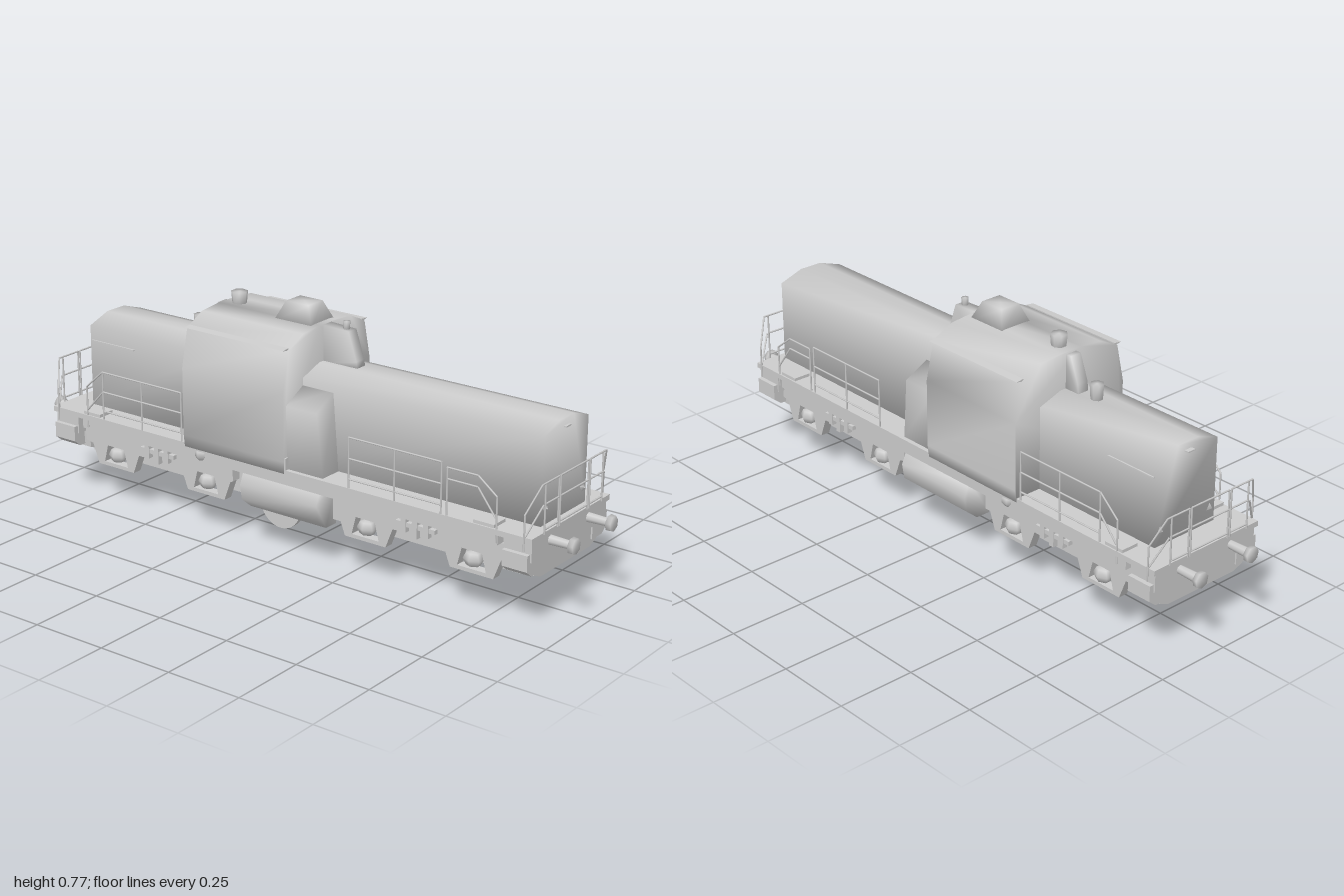
import * as THREE from 'three';
import { mergeVertices, toCreasedNormals } from 'three/addons/utils/BufferGeometryUtils.js';

const mat = new THREE.MeshStandardMaterial({ color: 0xcccccc, side: THREE.DoubleSide });

// Shares vertices between faces so that shading runs smoothly over the edges
function smooth(geo) {
  geo.deleteAttribute('uv');
  geo.deleteAttribute('normal');
  const g = mergeVertices(geo, 1e-4);
  g.computeVertexNormals();
  return g;
}

function shapeOf(points) {
  return new THREE.Shape(points.map(([a, b]) => new THREE.Vector2(a, b)));
}

// Cross-section in x and y, drawn out from z0 to z1
function alongZ(points, z0, z1) {
  return new THREE.ExtrudeGeometry(shapeOf(points), { depth: z1 - z0, bevelEnabled: false }).translate(0, 0, z0);
}

// Profile in z and y, drawn out from x0 to x1
function alongX(shape, x0, x1) {
  return new THREE.ExtrudeGeometry(shape, { depth: x1 - x0, bevelEnabled: false })
    .rotateY(-Math.PI / 2).translate(x1, 0, 0);
}

// Half outline mirrored about x = 0
const mirror = (half) => [...half, ...half.slice().reverse().map(([x, y]) => [-x, y])];

export function createModel() {
  const model = new THREE.Group();

  const add = (name, geo, parent = model) => {
    const mesh = new THREE.Mesh(geo, mat);
    mesh.name = name;
    parent.add(mesh);
    return mesh;
  };
  const box = (name, x0, x1, y0, y1, z0, z1, parent) => add(name,
    new THREE.BoxGeometry(x1 - x0, y1 - y0, z1 - z0)
      .translate((x0 + x1) / 2, (y0 + y1) / 2, (z0 + z1) / 2), parent);
  const rod = (parent, a, b, r = 0.003) => {
    const p = new THREE.Vector3(...a), q = new THREE.Vector3(...b);
    const mesh = add('rail', new THREE.CylinderGeometry(r, r, p.distanceTo(q), 5), parent);
    mesh.position.copy(p).add(q).multiplyScalar(0.5);
    mesh.quaternion.setFromUnitVectors(new THREE.Vector3(0, 1, 0), q.sub(p).normalize());
  };
  const path = (parent, pts) => pts.slice(1).forEach((p, i) => rod(parent, pts[i], p));
  const group = (name) => {
    const g = new THREE.Group();
    g.name = name;
    model.add(g);
    return g;
  };

  // Hoods
  const hood = mirror([[0.122, 0.3], [0.122, 0.572], [0.04, 0.6]]);
  add('longHood', smooth(alongZ(hood, 0, 0.89)));
  add('shortHood', smooth(alongZ(hood, -0.83, -0.32)));

  // Cab with eaves
  const cab = mirror([[0.215, 0.29], [0.22, 0.33], [0.22, 0.55], [0.192, 0.675], [0.12, 0.71], [0.04, 0.717]]);
  add('cab', smooth(alongZ(cab, -0.355, 0.04)));
  for (const s of [1, -1]) {
    const eave = [[0.185, 0.673], [0.212, 0.679], [0.185, 0.682]].map(([x, y]) => [s * x, y]);
    add('eave', alongZ(eave, -0.35, 0.035));
  }

  // Roof ventilator
  const vent = new THREE.CylinderGeometry(0.05, 0.085, 0.065, 4, 1).rotateY(Math.PI / 4);
  add('roofVentilator', smooth(vent.scale(1, 1, 1.22).translate(0, 0.738, -0.048)));

  // Exhaust stacks, horn and knobs
  const stack = (edge) => smooth(alongX(shapeOf(edge), -0.02, 0.02));
  add('frontStack', stack([[0.03, 0.59], [0.17, 0.59], [0.165, 0.62], [0.135, 0.71], [0.03, 0.715]]));
  add('rearStack', stack([[-0.34, 0.59], [-0.41, 0.59], [-0.405, 0.63], [-0.375, 0.71], [-0.34, 0.71]]));
  const pot = (name, r, h, y, z) => add(name,
    smooth(new THREE.CylinderGeometry(r, r * 0.85, h, 7).translate(0, y, z)));
  pot('frontStackCap', 0.012, 0.025, 0.723, 0.113);
  pot('roofHorn', 0.027, 0.045, 0.732, -0.303);
  pot('hoodKnob', 0.022, 0.05, 0.624, -0.465);

  // Cabinets beside the long hood
  for (const s of [1, -1]) {
    const g = alongZ([[0.11, 0.3], [0.2, 0.3], [0.205, 0.505], [0.11, 0.555]].map(([x, y]) => [s * x, y]), 0.03, 0.175);
    const p = g.attributes.position;
    for (let i = 0; i < p.count; i++) {
      if (p.getZ(i) > 0.1 && p.getY(i) > 0.4) p.setZ(i, 0.155);
    }
    add('sideCabinet', smooth(g));
  }

  // Frame
  box('walkway', -0.215, 0.215, 0.285, 0.302, -0.92, 0.92);
  box('frameBody', -0.135, 0.135, 0.148, 0.286, -0.82, 0.84);
  for (const s of [1, -1]) {
    box('sideSill', s > 0 ? 0.13 : -0.205, s > 0 ? 0.205 : -0.13, 0.25, 0.285, -0.8, 0.8);
    box('equipmentBox', s > 0 ? 0.14 : -0.215, s > 0 ? 0.215 : -0.14, 0.3, 0.34, -0.02, 0.045);
  }

  // Ends: beam, snow plough, steps, buffers, lamps
  const plough = mirror([[0.135, 0.158], [0.172, 0.172], [0.175, 0.226]]);
  for (const e of [1, -1]) {
    const z = (a, b) => (e > 0 ? [a, b] : [-b, -a]);
    box('endBeam', -0.205, 0.205, 0.225, 0.287, ...z(0.82, 0.915));
    add('plough', alongZ(plough, ...z(0.8, 0.905)));
    for (const s of [1, -1]) {
      const block = [[0.14, 0.18], [0.195, 0.18], [0.22, 0.2], [0.22, 0.25], [0.14, 0.25]].map(([x, y]) => [s * x, y]);
      add('stepBlock', alongZ(block, ...z(0.825, 0.91)));
      const x = (a, b) => (s > 0 ? [a, b] : [-b, -a]);
      box('upperStep', ...x(0.15, 0.21), 0.302, 0.312, ...z(0.72, 0.79));
      const shank = new THREE.CylinderGeometry(0.013, 0.016, 0.085, 8).rotateX(Math.PI / 2);
      add('bufferShank', shank.translate(s * 0.105, 0.264, e * 0.948));
      const head = new THREE.CylinderGeometry(0.024, 0.026, 0.016, 7).rotateX(Math.PI / 2);
      add('bufferHead', smooth(head.translate(s * 0.105, 0.264, e * 0.992)));
      const lamp = new THREE.ConeGeometry(0.015, 0.012, 3).rotateX(e * Math.PI / 2);
      add('lamp', lamp.translate(s * 0.102, 0.352, e > 0 ? 0.895 : -0.835));
    }
  }
  box('hoodLampBar', -0.014, 0.014, 0.572, 0.576, -0.845, 0.898);

  for (const s of [1, -1]) {
    const side = (x) => s * x;
    const range = (a, b) => (s > 0 ? [a, b] : [-b, -a]);

    // Trim strip on the short hood
    box('hoodStrip', ...range(0.12, 0.127), 0.522, 0.526, -0.82, -0.64);

    // Fuel tank
    const tank = [[0.12, 0.13], [0.17, 0.13], [0.212, 0.165], [0.22, 0.215], [0.2, 0.262], [0.12, 0.262]];
    add('fuelTank', smooth(alongZ(tank.map(([x, y]) => [side(x), y]), -0.13, 0.165)));

    // Bogie side frames with openings for the axle boxes
    for (const [lo, hi, axles] of [[0.2, 0.83, [0.32, 0.7]], [-0.81, -0.19, [-0.68, -0.3]]]) {
      const edge = [[hi, 0.25], [lo, 0.25], [lo, 0.2]];
      for (const c of axles) {
        edge.push([c - 0.1, 0.195], [c - 0.075, 0.13], [c + 0.075, 0.13], [c + 0.1, 0.195]);
      }
      edge.push([hi, 0.2]);
      const frame = shapeOf(edge);
      for (const c of axles) {
        frame.holes.push(new THREE.Path([[-0.05, 0.142], [0.05, 0.142], [0.035, 0.2], [-0.035, 0.2]]
          .map(([z, y]) => new THREE.Vector2(c + z, y))));
        const axleBox = new THREE.SphereGeometry(0.03, 6, 4).scale(0.9, 0.9, 1.1);
        add('axleBox', axleBox.translate(side(0.172), 0.172, c));
      }
      add('bogieFrame', toCreasedNormals(alongX(frame, ...range(0.15, 0.182)), 0.5));

      // Brake gear between the axles
      const m = (axles[0] + axles[1]) / 2;
      for (const d of [-0.04, 0, 0.04]) {
        box('brakeHanger', ...range(0.18, 0.2), 0.205 - (d === 0 ? 0.012 : 0), 0.25, m + d - 0.009, m + d + 0.009);
      }
      box('brakeBar', ...range(0.18, 0.197), 0.222, 0.236, m - 0.07, m + 0.07);
    }
    add('airReservoir', new THREE.SphereGeometry(0.024, 7, 5).translate(side(0.195), 0.272, -0.302));

    // Handrails along the walkway
    const rails = group('sideHandrails');
    const x = side(0.212);
    const panel = (a, b, top) => {
      path(rails, [[x, 0.3, a], [x, top, a], [x, top, b], [x, 0.3, b]]);
      rod(rails, [x, 0.395, a], [x, 0.395, b]);
      rod(rails, [x, 0.33, a], [x, 0.33, b]);
      rod(rails, [x, 0.3, (a + b) / 2], [x, top, (a + b) / 2]);
    };
    panel(0.28, 0.61, 0.462);
    panel(-0.7, -0.37, 0.462);
    path(rails, [[x, 0.3, 0.63], [x, 0.45, 0.63], [x, 0.45, 0.735], [x, 0.4, 0.8], [x, 0.26, 0.8]]);
    path(rails, [[x, 0.415, 0.63], [x, 0.415, 0.735], [x, 0.33, 0.8]]);
    path(rails, [[x, 0.462, -0.7], [x, 0.4, -0.77], [x, 0.26, -0.77]]);
    path(rails, [[x, 0.395, -0.7], [x, 0.32, -0.77]]);

    // End handrails, with slanted pieces down to the steps
    for (const e of [1, -1]) {
      const ends = group('endHandrails');
      const z = e * 0.925;
      for (const [a, b] of [[0, 0.077], [0.086, 0.158]]) {
        path(ends, [[side(a), 0.455, z], [side(b), 0.455, z], [side(b), 0.3, z]]);
        rod(ends, [side(a), 0.392, z], [side(b), 0.392, z]);
        rod(ends, [side(a), 0.315, z], [side(b), 0.315, z]);
      }
      rod(ends, [side(0.086), 0.3, z], [side(0.086), 0.455, z]);
      path(ends, [[side(0.158), 0.455, z], [side(0.175), 0.455, z], [side(0.215), 0.37, e * 0.895], [side(0.217), 0.26, e * 0.895]]);
      rod(ends, [side(0.165), 0.392, z], [side(0.215), 0.3, e * 0.895]);
    }
  }

  // Rear mounted disc under the frame
  const disc = new THREE.CylinderGeometry(0.08, 0.08, 0.02, 32).rotateZ(Math.PI / 2);
  add('underframeDisc', disc.translate(0, 0.08, -0.138));

  return model;
}
